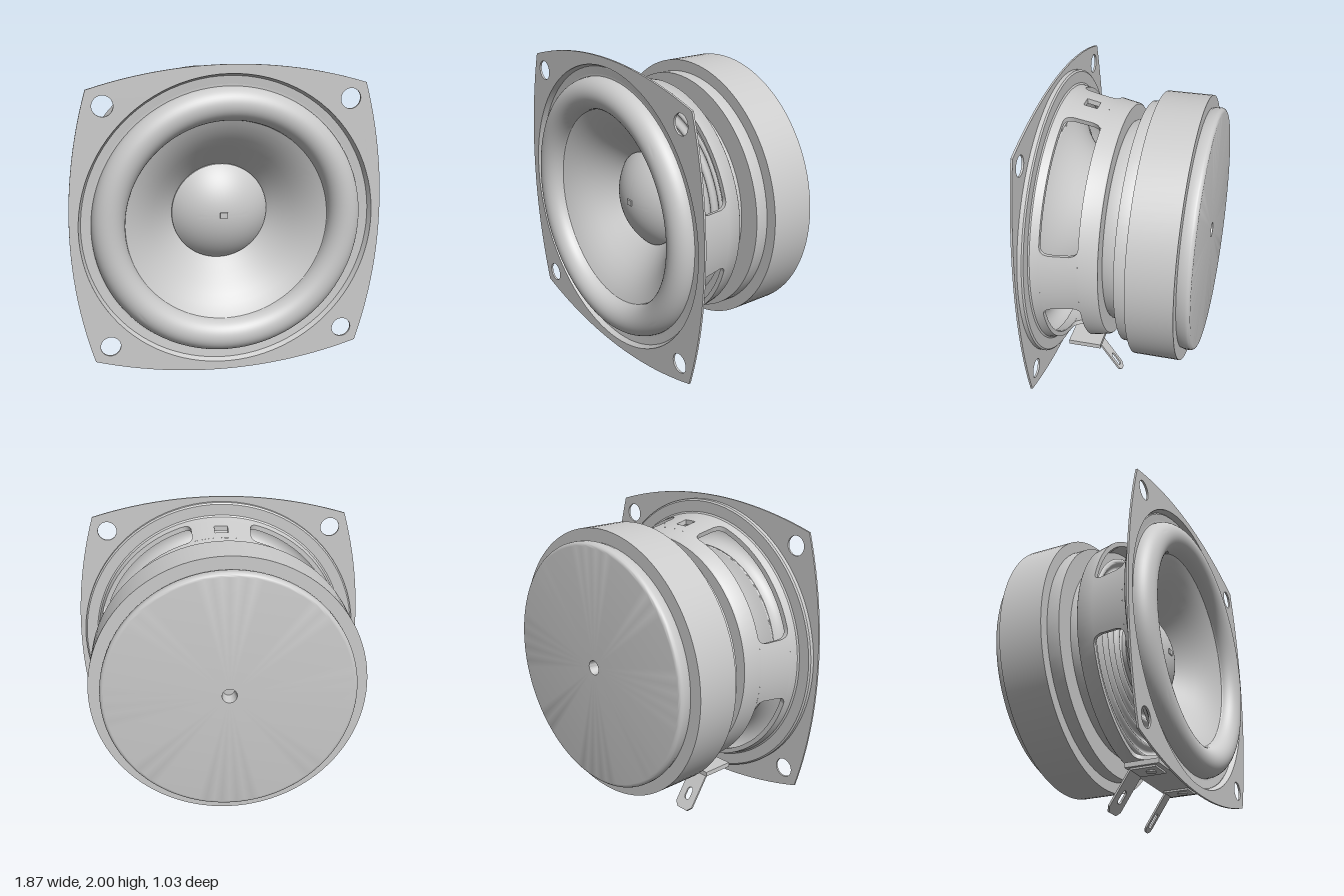
import * as THREE from 'three';
import { toCreasedNormals } from 'three/addons/utils/BufferGeometryUtils.js';

const AXIS_Y = 1.063; // height of the speaker axis
const mat = new THREE.MeshStandardMaterial({ color: 0xcccccc, side: THREE.DoubleSide });

function add(parent, name, geo) {
  const m = new THREE.Mesh(geo, mat);
  m.name = name;
  parent.add(m);
  return m;
}

// Revolve [radius, z] points around the z axis
function turned(points, crease = 0.6) {
  const g = new THREE.LatheGeometry(points.map(p => new THREE.Vector2(p[0], p[1])), 96);
  g.rotateX(Math.PI / 2);
  return toCreasedNormals(g, crease);
}

// Points along an elliptical arc, as [radius, z]
function arc(cr, cz, rr, rz, a0, a1, n) {
  return Array.from({ length: n + 1 }, (_, i) => {
    const a = a0 + (a1 - a0) * i / n;
    return [cr + rr * Math.cos(a), cz + rz * Math.sin(a)];
  });
}

const basketR = z => 0.737 + (z - 0.03) * 0.208;
const WALL = 0.03, Z0 = 0.135, Z1 = 0.35;

// Half width of a basket spoke, flaring at both ends for rounded windows
function spokeHalf(z) {
  const r = 0.05, d = Math.min(z - Z0, Z1 - z);
  const flare = d < r ? r - Math.sqrt(Math.max(0, r * r - (r - d) ** 2)) : 0;
  return (0.187 + flare) / 0.78;
}

// Curved spoke between two angular limits given per row
function spoke(rows, lo, hi) {
  const n = 12, pos = [], idx = [], ring = 2 * (n + 1);
  rows.forEach((row, k) => {
    const z = row[0], a0 = lo(row), a1 = hi(row);
    for (let j = 0; j < ring; j++) {
      const outer = j <= n;
      const t = (outer ? j : ring - 1 - j) / n;
      const a = a0 + (a1 - a0) * t, r = basketR(z) - (outer ? 0 : WALL);
      pos.push(r * Math.cos(a), r * Math.sin(a), z);
      if (k) {
        const j2 = (j + 1) % ring, p = (k - 1) * ring, q = k * ring;
        idx.push(p + j, p + j2, q + j2, p + j, q + j2, q + j);
      }
    }
  });
  const g = new THREE.BufferGeometry();
  g.setAttribute('position', new THREE.Float32BufferAttribute(pos, 3));
  g.setIndex(idx);
  return toCreasedNormals(g, 0.6);
}

function slotPath(cy, width, length) {
  const p = new THREE.Path(), r = width / 2, h = length / 2 - r;
  p.absarc(0, cy + h, r, 0, Math.PI, false);
  p.absarc(0, cy - h, r, Math.PI, 2 * Math.PI, false);
  p.closePath();
  return p;
}

// Tilted solder tab with a slot; cut is the corner size at the tip
function tab(width, cut, rounded, slot) {
  const w = width / 2, L = 0.268, s = new THREE.Shape();
  s.moveTo(w, 0);
  s.lineTo(-w, 0);
  s.lineTo(-w, -L + cut);
  if (rounded) s.absarc(0, -L + w, w, Math.PI, 2 * Math.PI, false);
  else {
    s.lineTo(-w + cut, -L);
    s.lineTo(w - cut, -L);
    s.lineTo(w, -L + cut);
  }
  s.closePath();
  s.holes.push(slot);
  const g = new THREE.ExtrudeGeometry(s, { depth: 0.012, bevelEnabled: false, curveSegments: 10 });
  return g.rotateX(Math.atan2(0.15, 0.225));
}

export function createModel() {
  const root = new THREE.Group();
  root.name = 'loudspeaker';
  const body = new THREE.Group();
  body.name = 'driver';
  body.position.y = AXIS_Y;
  root.add(body);

  // Mounting plate: bowed square with four screw holes
  const c = 0.815, bow = 0.122, R = (c * c + bow * bow) / (2 * bow), half = Math.asin(c / R);
  const plate = new THREE.Shape();
  for (let k = 0; k < 4; k++) {
    for (let i = 0; i < 24; i++) {
      const a = -half + 2 * half * i / 24, q = k * Math.PI / 2;
      const x = c + bow - R + R * Math.cos(a), y = R * Math.sin(a);
      const px = x * Math.cos(q) - y * Math.sin(q), py = x * Math.sin(q) + y * Math.cos(q);
      if (k || i) plate.lineTo(px, py); else plate.moveTo(px, py);
    }
  }
  plate.closePath();
  plate.holes.push(new THREE.Path().absarc(0, 0, 0.885, 0, Math.PI * 2, true));
  for (const sx of [-1, 1]) for (const sy of [-1, 1])
    plate.holes.push(new THREE.Path().absarc(sx * 0.723, sy * 0.723, 0.06, 0, Math.PI * 2, true));
  const plateGeo = new THREE.ExtrudeGeometry(plate, { depth: 0.012, bevelEnabled: false, curveSegments: 48 });
  add(body, 'mountingPlate', toCreasedNormals(plateGeo.translate(0, 0, 0.44), 0.5));

  // Basket: front rim, rear ring and four spokes
  add(body, 'basketRim', turned([
    [basketR(Z1), Z1], [0.815, 0.4], [0.825, 0.407], [0.895, 0.407], [0.905, 0.415], [0.905, 0.44],
    [0.885, 0.448], [0.87, 0.42], [0.785, 0.417], [basketR(Z1) - WALL, Z1], [basketR(Z1), Z1]]));
  add(body, 'basketRing', turned([
    [0.6, 0.025], [0.73, 0.025], [0.738, 0.033], [basketR(Z0), Z0], [basketR(Z0) - WALL, Z0],
    [0.707, 0.055], [0.6, 0.055], [0.6, 0.025]]));
  // Rows are [z, inside the square opening]
  const rows = [[0.135, 0], [0.138, 0], [0.145, 0], [0.157, 0], [0.185, 0], [0.2, 0], [0.2, 1], [0.283, 1],
    [0.283, 0], [0.3, 0], [0.328, 0], [0.34, 0], [0.347, 0], [0.35, 0]];
  for (let k = 0; k < 4; k++) {
    const mid = k * Math.PI / 2;
    const left = r => mid - spokeHalf(r[0]), right = r => mid + spokeHalf(r[0]);
    if (k === 1) { // top spoke has a small square opening
      add(body, 'basketSpoke', spoke(rows, left, r => mid - r[1] * 0.054));
      add(body, 'basketSpoke', spoke(rows, r => mid + r[1] * 0.054, right));
    } else add(body, 'basketSpoke', spoke(rows, left, right));
  }

  // Moving parts
  add(body, 'surround', turned([[0.865, 0.423], ...arc(0.7125, 0.417, 0.0985, 0.0985, 0, Math.PI, 24),
    [0.61, 0.412]], 1));
  add(body, 'cone', turned([[0.255, 0.1], [0.29, 0.14], [0.34, 0.192], [0.39, 0.243], [0.44, 0.293],
    [0.49, 0.338], [0.54, 0.375], [0.585, 0.402], [0.618, 0.418]]));
  const capR = 0.3, capH = 0.13, ballR = (capR * capR + capH * capH) / (2 * capH);
  const capA = Math.asin(capR / ballR);
  add(body, 'dustCap', turned([[capR, 0.152],
    ...arc(0, 0.165 + capH - ballR, ballR, ballR, Math.PI / 2 - capA, Math.PI / 2, 16)]));
  add(body, 'capMark', new THREE.BoxGeometry(0.045, 0.035, 0.02).translate(0, 0.008, 0.293));
  add(body, 'voiceCoil', turned([[0.265, -0.06], [0.265, 0.13]]));
  add(body, 'spider', turned(Array.from({ length: 41 }, (_, i) =>
    [0.66 - 0.395 * i / 40, 0.085 + 0.014 * Math.sin(i / 40 * Math.PI * 10)]), 1));

  // Motor stack
  add(body, 'neck', turned([[0.27, -0.075], [0.628, -0.075], [0.636, 0.015], [0.63, 0.026], [0.27, 0.026]]));
  add(body, 'frontPolePlate', turned([[0, -0.157], [0.76, -0.157], [0.762, -0.15], [0.762, -0.075], [0, -0.075]]));
  add(body, 'magnet', turned([[0, -0.435], [0.831, -0.435], [0.831, -0.155], [0, -0.155]]));
  add(body, 'backPlate', turned([[0, -0.41], [0.034, -0.43], [0.045, -0.515], [0.735, -0.515],
    ...arc(0.735, -0.488, 0.025, 0.027, -Math.PI / 2, 0, 6), [0.76, -0.46], [0.752, -0.434], [0, -0.434]]));

  // Terminal board with two solder tabs
  const terminals = new THREE.Group();
  terminals.name = 'terminals';
  root.add(terminals);
  add(terminals, 'terminalBoard', new THREE.BoxGeometry(0.66, 0.03, 0.215).translate(0, 0.243, 0.243));
  add(terminals, 'terminalBlock', new THREE.BoxGeometry(0.08, 0.07, 0.083).translate(0, 0.285, 0.242));
  const tabs = [[-0.237, tab(0.145, 0.03, false, slotPath(-0.158, 0.045, 0.085)), 0.145],
    [0.233, tab(0.075, 0.0375, true, slotPath(-0.185, 0.032, 0.1)), 0.11]];
  for (const [x, geo, w] of tabs) {
    add(terminals, 'solderTab', geo).position.set(x, 0.225, 0.155);
    add(terminals, 'tabFoot', new THREE.BoxGeometry(w, 0.012, 0.16).translate(x, 0.223, 0.24));
    add(terminals, 'rivet', new THREE.CylinderGeometry(0.03, 0.03, 0.02, 20).translate(x, 0.22, 0.26));
  }
  return root;
}
